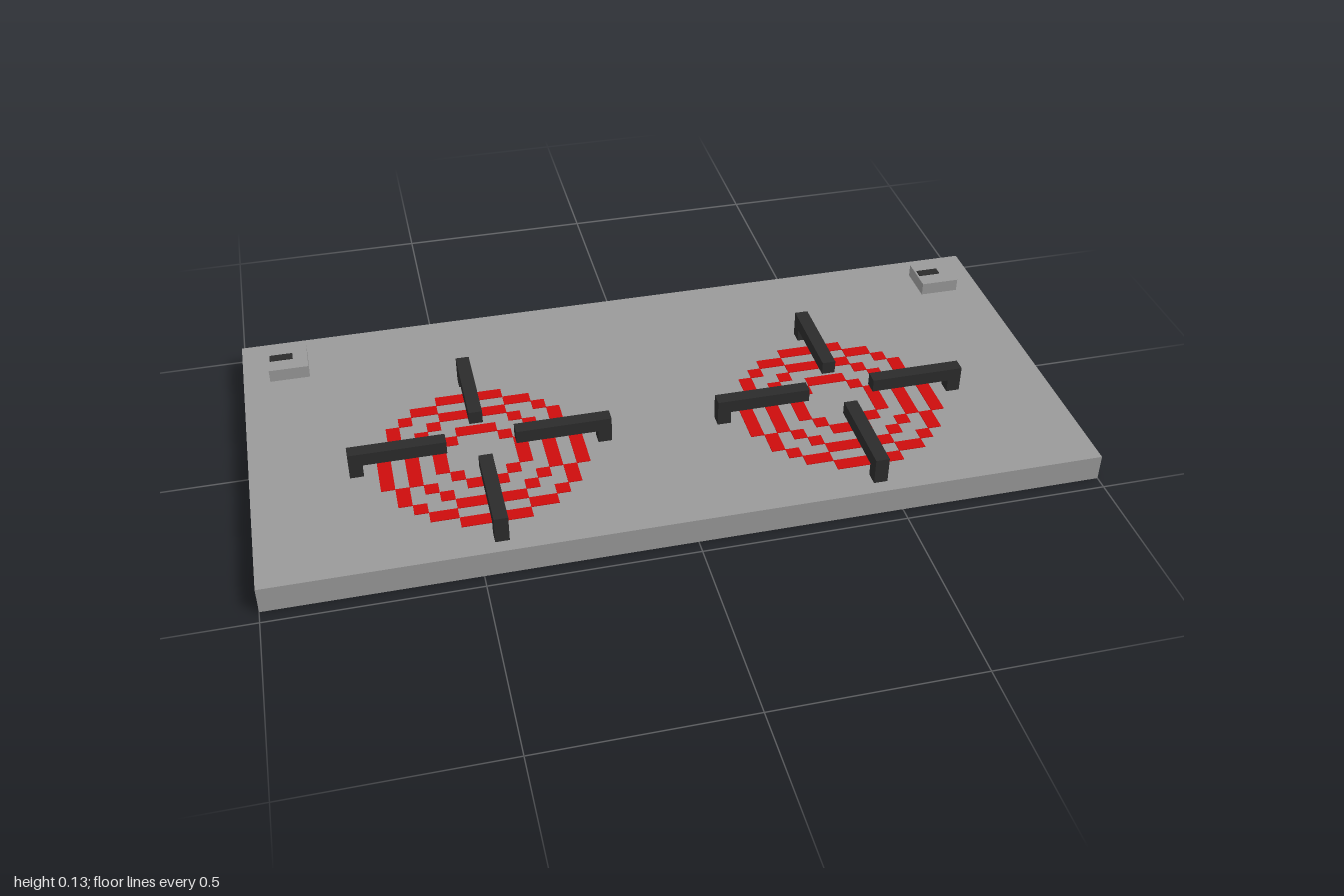
import * as THREE from 'three';
import { mergeGeometries } from 'three/addons/utils/BufferGeometryUtils.js';

const U = 1 / 30; // grid unit
const TOP = 2 * U; // height of the slab

const steel = new THREE.MeshStandardMaterial({ color: 0x999999 });
steel.name = 'steel grey';
const iron = new THREE.MeshStandardMaterial({ color: 0x2b2b2b });
iron.name = 'iron black';
const glow = new THREE.MeshStandardMaterial({ color: 0xcc0c0c });
glow.name = 'glowing red';

function box(name, material, w, h, d, x, y, z) {
  const mesh = new THREE.Mesh(new THREE.BoxGeometry(w, h, d), material);
  mesh.name = name;
  mesh.position.set(x, y + h / 2, z);
  return mesh;
}

// Stepped concentric rings, one thin square tile per grid cell
function heatingRings() {
  const octant = [
    [3, 0], [3, 1], [2, 2],
    [5, 0], [5, 1], [5, 2], [4, 3],
    [7, 0], [7, 1], [7, 2], [6, 3], [6, 4], [5, 5],
  ];
  const cells = new Map();
  for (const [a, b] of octant) {
    for (const [i, j] of [[a, b], [b, a]]) {
      for (const sx of [-1, 1]) {
        for (const sz of [-1, 1]) cells.set(`${i * sx + 0},${j * sz + 0}`, [i * sx, j * sz]);
      }
    }
  }
  const tiles = [...cells.values()].map(([i, j]) =>
    new THREE.BoxGeometry(U, 0.002, U).translate(i * U, 0.001, j * U));
  const mesh = new THREE.Mesh(mergeGeometries(tiles), glow);
  mesh.name = 'heatingRings';
  return mesh;
}

// Pan support: a bar with a foot at its outer end, lying along +x
function supportGeometry() {
  const inner = 2.5 * U, outer = 9.5 * U;
  const shape = new THREE.Shape([
    [inner, U], [outer - U, U], [outer - U, 0], [outer, 0], [outer, 2 * U], [inner, 2 * U],
  ].map(([x, y]) => new THREE.Vector2(x, y)));
  return new THREE.ExtrudeGeometry(shape, { depth: U, bevelEnabled: false }).translate(0, 0, -U / 2);
}

function burner(name, x) {
  const group = new THREE.Group();
  group.name = name;
  group.position.set(x, TOP, 3.5 * U);
  group.add(heatingRings());
  const geometry = supportGeometry();
  for (let i = 0; i < 4; i++) {
    const support = new THREE.Mesh(geometry, iron);
    support.name = 'panSupport';
    support.rotation.y = i * Math.PI / 2;
    group.add(support);
  }
  return group;
}

// Square control with a short dark pointer on top
function knob(name, x) {
  const group = new THREE.Group();
  group.name = name;
  group.position.set(x, TOP, -10.5 * U);
  group.add(box('knobBody', steel, 3 * U, U, 3 * U, 0, 0, 0));
  group.add(box('knobPointer', iron, 0.058, 0.002, 0.024, -0.016, U, -0.003));
  return group;
}

export function createModel() {
  const model = new THREE.Group();
  model.name = 'cooktop';
  model.add(box('slab', steel, 2, TOP, 28 * U, 0, 0, 0));
  model.add(burner('rightBurner', -13.5 * U), burner('leftBurner', 13.5 * U));
  model.add(knob('rightKnob', -26.5 * U), knob('leftKnob', 26.5 * U));
  return model;
}
